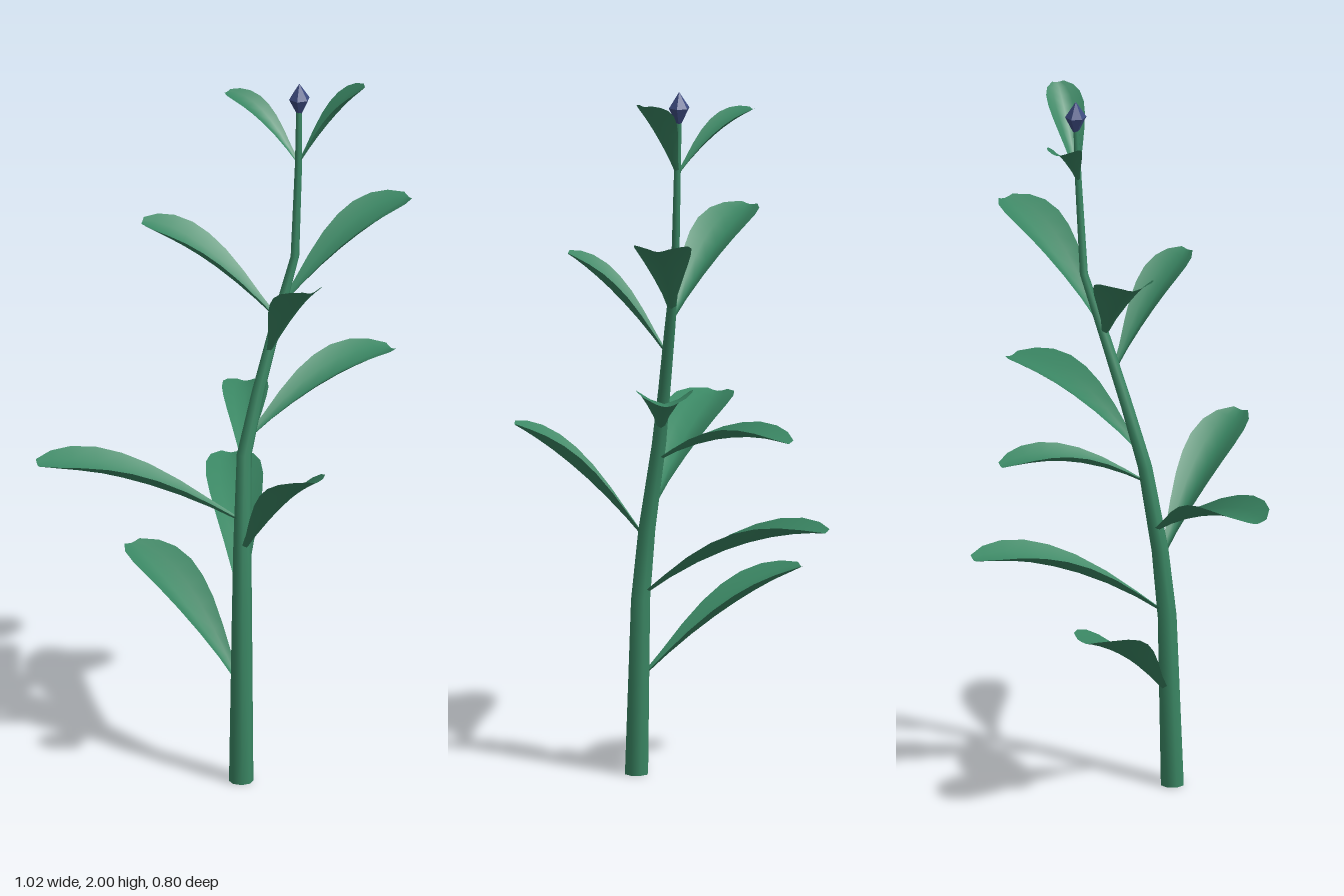
import * as THREE from 'three';
import { mergeVertices } from 'three/addons/utils/BufferGeometryUtils.js';

const green = new THREE.MeshStandardMaterial({ color: 0x3a8663, side: THREE.DoubleSide });
green.name = 'leafGreen';
const navy = new THREE.MeshStandardMaterial({ color: 0x3d4b80 });
navy.name = 'budBlue';

// Smooth surface through rows of equally many points
function loft(rows) {
  const n = rows[0].length, index = [];
  for (let i = 0; i < rows.length - 1; i++) {
    for (let j = 0; j < n - 1; j++) {
      const a = i * n + j, b = a + n;
      index.push(a, a + 1, b, a + 1, b + 1, b);
    }
  }
  const g = new THREE.BufferGeometry().setFromPoints(rows.flat());
  g.setIndex(index);
  const merged = mergeVertices(g);
  merged.computeVertexNormals();
  return merged;
}

// Half width along a leaf: [position, share of the widest]
const outline = [[0, 0.1], [0.15, 0.27], [0.3, 0.52], [0.45, 0.76], [0.58, 0.92],
  [0.7, 1], [0.82, 0.95], [0.92, 0.74], [1, 0.33]];

// Arched leaf whose edges curl up from the midrib, flattening towards the tip
function leafGeometry(base, tip, halfWidth, arch) {
  const a = new THREE.Vector3(...base), c = new THREE.Vector3(...tip);
  const b = a.clone().lerp(c, 0.5);
  b.y += arch;
  const midrib = new THREE.QuadraticBezierCurve3(a, b, c);
  const up = new THREE.Vector3(0, 1, 0);
  const side = c.clone().sub(a).cross(up).normalize();
  return loft(outline.map(([t, share]) => {
    const p = midrib.getPoint(t), w = share * halfWidth;
    const normal = side.clone().cross(midrib.getTangent(t)).normalize();
    const curl = 0.6 * w * (1 - 0.55 * t ** 3);
    return [-1, -0.5, 0, 0.5, 1].map((u) => p.clone()
      .addScaledVector(side, u * w)
      .addScaledVector(normal, curl * Math.abs(u) ** 1.5));
  }));
}

export function createModel() {
  const plant = new THREE.Group();
  plant.name = 'plant';
  const add = (name, geometry, material) => {
    const mesh = new THREE.Mesh(geometry, material);
    mesh.name = name;
    plant.add(mesh);
  };

  // Bent, tapering stem: x, y, z, radius
  const path = [[-0.068, 0, 0.063, 0.034], [-0.056, 0.5, 0.055, 0.028], [-0.04, 0.7, 0.042, 0.025],
    [-0.005, 0.95, 0.018, 0.021], [0.05, 1.12, 0.02, 0.018], [0.115, 1.3, 0.026, 0.016],
    [0.188, 1.49, 0.034, 0.012], [0.204, 1.76, 0.033, 0.01], [0.21, 1.93, 0.03, 0.008]];
  const sides = 8;
  add('stem', loft(path.map(([x, y, z, r]) => Array.from({ length: sides + 1 }, (_, j) => {
    const angle = -(j % sides) / sides * Math.PI * 2;
    return new THREE.Vector3(x + r * Math.cos(angle), y, z + r * Math.sin(angle));
  }))), green);
  const foot = new THREE.CircleGeometry(0.034, sides).rotateX(Math.PI / 2);
  add('stemFoot', foot.translate(-0.068, 0, 0.063), green);

  // Leaves from the bottom up: base, tip, half width, arch
  const leaves = [
    [[-0.055, 0.28, 0.045], [-0.01, 0.57, -0.4], 0.086, 0.06],
    [[-0.05, 0.51, 0.05], [0.352, 0.745, -0.352], 0.08, 0.1],
    [[-0.042, 0.67, 0.045], [-0.13, 1.005, 0.4], 0.076, 0.06],
    [[-0.035, 0.76, 0.03], [-0.495, 0.973, -0.315], 0.088, 0.07],
    [[-0.01, 0.9, 0.022], [0.31, 0.998, -0.26], 0.065, 0.08],
    [[0.01, 0.99, 0.018], [0.46, 1.163, 0.15], 0.08, 0.07],
    [[0.09, 1.22, 0.024], [-0.02, 1.508, 0.28], 0.066, 0.05],
    [[0.12, 1.32, 0.027], [-0.1, 1.592, -0.28], 0.082, 0.055],
    [[0.14, 1.355, 0.028], [0.495, 1.615, 0.185], 0.08, 0.06],
    [[0.204, 1.76, 0.033], [0.165, 1.926, -0.2], 0.046, 0.05],
    [[0.204, 1.76, 0.033], [0.328, 1.992, 0.17], 0.052, 0.04],
  ];
  leaves.forEach((leaf, i) => add(`leaf${i + 1}`, leafGeometry(...leaf), green));

  // Faceted bud at the top
  const profile = [[0, 1.91], [0.008, 1.911], [0.03, 1.955], [0, 2]]
    .map(([r, y]) => new THREE.Vector2(r, y));
  const bud = new THREE.LatheGeometry(profile, 6).toNonIndexed();
  bud.computeVertexNormals();
  add('bud', bud.translate(0.211, 0, 0.03), navy);

  return plant;
}
